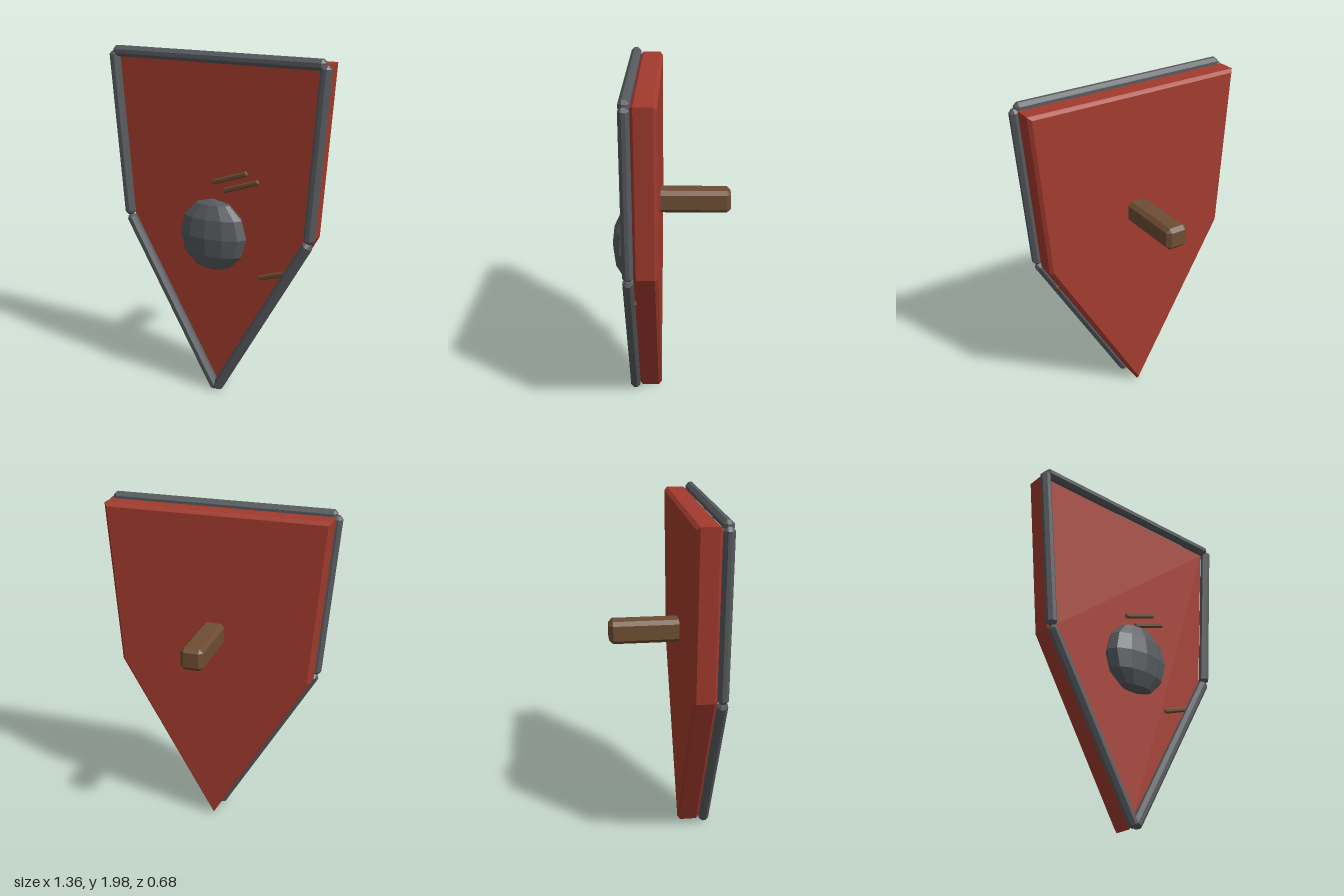
import * as THREE from 'three';
import { ConvexGeometry } from 'three/addons/geometries/ConvexGeometry.js';

const material = (color) => new THREE.MeshStandardMaterial({ color, flatShading: true });
const red = material(0xa33b2e);
const iron = material(0x575b5f);
const wood = material(0x6d4d33);

// Box with every edge chamfered by c
function chamferBox(w, h, d, c) {
  const points = [];
  for (const x of [-1, 1]) for (const y of [-1, 1]) for (const z of [-1, 1]) {
    for (let axis = 0; axis < 3; axis++) {
      const inset = [c, c, c];
      inset[axis] = 0;
      points.push(new THREE.Vector3(
        x * (w / 2 - inset[0]), y * (h / 2 - inset[1]), z * (d / 2 - inset[2])));
    }
  }
  return new ConvexGeometry(points);
}

export function createModel() {
  const group = new THREE.Group();
  const add = (name, geometry, mat, x, y, z, angle = 0) => {
    const mesh = new THREE.Mesh(geometry, mat);
    mesh.name = name;
    mesh.position.set(x, y, z);
    mesh.rotation.z = angle;
    group.add(mesh);
    return mesh;
  };

  const outline = [[0.65, 1.97], [-0.65, 1.97], [-0.575, 1.02], [0, 0.03], [0.575, 1.02]]
    .map(([x, y]) => new THREE.Vector2(x, y));

  // Pointed board with bevelled rim
  const bevel = 0.018;
  const board = new THREE.ExtrudeGeometry(new THREE.Shape(outline), {
    depth: 0.135 - 2 * bevel, bevelEnabled: true, bevelSegments: 1,
    bevelSize: bevel, bevelThickness: bevel, bevelOffset: -bevel,
  });
  add('board', board, red, 0, 0, 0.055 + bevel);

  // Iron trim, one bar along each edge of the board
  const names = ['topTrim', 'rightSideTrim', 'rightLowerTrim', 'leftLowerTrim', 'leftSideTrim'];
  outline.forEach((a, i) => {
    const b = outline[(i + 1) % outline.length];
    const bar = chamferBox(a.distanceTo(b), 0.06, 0.058, 0.019);
    add(names[i], bar, iron, (a.x + b.x) / 2, (a.y + b.y) / 2, 0.215,
      Math.atan2(b.y - a.y, b.x - a.x));
  });

  // Flattened central boss
  const boss = new THREE.SphereGeometry(0.21, 12, 6);
  boss.scale(1, 1, 0.095 / 0.21);
  add('boss', boss, iron, 0, 0.99, 0.241);

  // Grip on the back
  add('grip', chamferBox(0.13, 0.13, 0.42, 0.022), wood, 0, 1.263, -0.132);

  // Bare wood scratches on the face
  for (const [x, y] of [[0.08, 1.315], [0.15, 1.275], [0.375, 0.8]]) {
    add('scratch', chamferBox(0.235, 0.03, 0.025, 0.008), wood, x, y, 0.19, 0.33);
  }

  return group;
}
